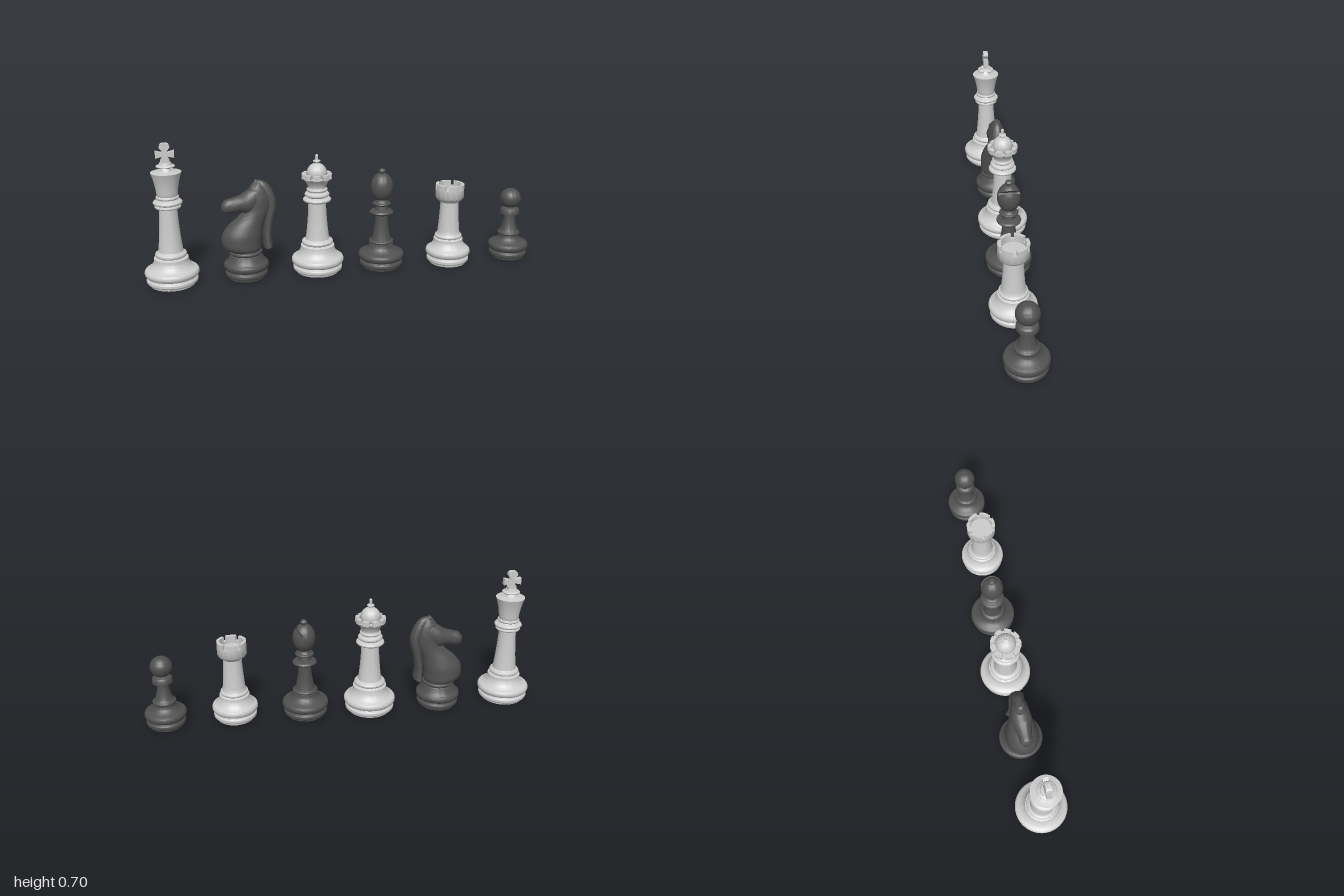
import * as THREE from 'three';
import { toCreasedNormals } from 'three/addons/utils/BufferGeometryUtils.js';

const light = new THREE.MeshStandardMaterial({ color: 0xcccccc });
const dark = new THREE.MeshStandardMaterial({ color: 0x505050 });

function add(parent, name, geometry, material, crease = 0.6) {
  const mesh = new THREE.Mesh(toCreasedNormals(geometry, crease), material);
  mesh.name = name;
  parent.add(mesh);
  return mesh;
}

// Profile helpers: each returns [radius, height] points from bottom to top
const bead = (r, y0, y1, bulge) => Array.from({ length: 9 }, (_, i) => {
  const a = -Math.PI / 2 + i * Math.PI / 8;
  return [r + bulge * Math.cos(a), (y0 + y1) / 2 + (y1 - y0) / 2 * Math.sin(a)];
});
const curve = (p, c, q) => new THREE.QuadraticBezierCurve(
  new THREE.Vector2(...p), new THREE.Vector2(...c), new THREE.Vector2(...q),
).getPoints(8).map((v) => [v.x, v.y]);
const ball = (r, y, ry = r, from = 0) => Array.from({ length: 17 }, (_, i) => {
  const a = -Math.PI / 2 + from + (Math.PI - from) * i / 16;
  return [Math.max(0, r * Math.cos(a)), y + ry * Math.sin(a)];
});

function lathe(points) {
  return new THREE.LatheGeometry(points.map(([x, y]) => new THREE.Vector2(x, y)), 64);
}

// Stepped foot shared by all pieces
const foot = (R, top, h) => [
  [0, 0], [0.82 * R, 0], [0.84 * R, 0.012],
  ...bead(0.89 * R, 0.013, 0.036, 0.06 * R),
  [0.87 * R, 0.043],
  ...bead(0.9 * R, 0.046, 0.082, 0.1 * R),
  ...curve([0.9 * R, 0.082], [top * 1.1, 0.095], [top, h]),
];

// Ring of battlements with gaps between them
function battlements(parent, material, rIn, rOut, y, h, count, fill) {
  const half = Math.PI / count * fill;
  const shape = new THREE.Shape();
  shape.absarc(0, 0, rOut, -half, half, false);
  shape.absarc(0, 0, rIn, half, -half, true);
  for (let i = 0; i < count; i++) {
    const geo = new THREE.ExtrudeGeometry(shape, { depth: h, bevelEnabled: false, curveSegments: 8 });
    geo.rotateX(-Math.PI / 2);
    geo.rotateY((i + 0.5) / count * Math.PI * 2);
    geo.translate(0, y, 0);
    add(parent, 'battlement', geo, material);
  }
}

// Smooth skin through elliptical rings [x, y, angle, half size in plane, half size in z]
function loft(rings, steps = 32, sides = 28) {
  const path = new THREE.CatmullRomCurve3(rings.map((r) => new THREE.Vector3(r[0], r[1], r[2])));
  const size = new THREE.CatmullRomCurve3(rings.map((r) => new THREE.Vector3(r[3], r[4], 0)));
  const pos = [], index = [];
  for (let i = -1; i <= steps + 1; i++) {
    const t = Math.min(1, Math.max(0, i / steps));
    const p = path.getPoint(t), s = size.getPoint(t);
    if (i < 0 || i > steps) s.set(0, 0, 0);
    for (let j = 0; j < sides; j++) {
      const a = j / sides * Math.PI * 2, u = s.x * Math.cos(a);
      pos.push(p.x + u * Math.cos(p.z), p.y + u * Math.sin(p.z), s.y * Math.sin(a));
      if (i > steps) continue;
      const r = (i + 1) * sides, k = (j + 1) % sides;
      index.push(r + j, r + sides + j, r + k, r + k, r + sides + j, r + sides + k);
    }
  }
  const geo = new THREE.BufferGeometry();
  geo.setAttribute('position', new THREE.Float32BufferAttribute(pos, 3));
  geo.setIndex(index);
  return geo;
}

function king(g) {
  add(g, 'kingBody', lathe([
    ...foot(0.132, 0.083, 0.125), [0.083, 0.138], [0.07, 0.142],
    ...bead(0.066, 0.144, 0.166, 0.01), [0.06, 0.172],
    ...curve([0.06, 0.172], [0.048, 0.26], [0.043, 0.385]),
    ...bead(0.05, 0.388, 0.405, 0.013), ...bead(0.055, 0.406, 0.428, 0.015),
    [0.05, 0.432], ...bead(0.048, 0.434, 0.45, 0.007), [0.05, 0.455],
    ...curve([0.05, 0.455], [0.054, 0.51], [0.073, 0.565]),
    [0.03, 0.569], [0.026, 0.572], [0.016, 0.586],
    ...bead(0.034, 0.588, 0.6, 0.011), [0.03, 0.603], [0.028, 0.61], [0, 0.614],
  ]), light);
  // Flared cross
  const half = [[0.02, 0.608], [0.022, 0.622], [0.01, 0.642], [0.044, 0.634], [0.044, 0.668],
    [0.012, 0.66], [0.012, 0.668], [0.025, 0.685], [0.02, 0.7], [0.008, 0.705]];
  const outline = [...half, ...half.map(([x, y]) => [-x, y]).reverse()];
  const shape = new THREE.Shape(outline.map((p) => new THREE.Vector2(...p)));
  const geo = new THREE.ExtrudeGeometry(shape, { depth: 0.026, bevelEnabled: false });
  add(g, 'kingCross', geo.translate(0, 0, -0.013), light);
}

function queen(g) {
  add(g, 'queenBody', lathe([
    ...foot(0.132, 0.085, 0.128), [0.085, 0.14], [0.07, 0.145],
    ...bead(0.068, 0.147, 0.169, 0.011), [0.06, 0.175],
    ...curve([0.06, 0.175], [0.048, 0.25], [0.044, 0.365]),
    ...bead(0.055, 0.368, 0.39, 0.016), [0.05, 0.393],
    ...bead(0.052, 0.396, 0.416, 0.01), [0.046, 0.42],
    ...bead(0.046, 0.424, 0.438, 0.007), [0.045, 0.445],
    ...curve([0.045, 0.445], [0.05, 0.465], [0.07, 0.487]), [0.074, 0.492], [0.04, 0.492],
  ]), light);
  battlements(g, light, 0.055, 0.076, 0.488, 0.024, 9, 0.68);
  add(g, 'queenDome', lathe(ball(0.05, 0.515)), light);
  add(g, 'queenFinial', lathe([
    [0, 0.555], [0.01, 0.562], ...bead(0.012, 0.57, 0.58, 0.007),
    [0.007, 0.582], [0.007, 0.604], [0.004, 0.608], [0, 0.608],
  ]), light);
}

function bishop(g) {
  add(g, 'bishopBody', lathe([
    ...foot(0.117, 0.062, 0.12), [0.062, 0.128], ...bead(0.054, 0.13, 0.145, 0.009), [0.05, 0.148],
    ...curve([0.05, 0.148], [0.035, 0.2], [0.031, 0.28]),
    ...bead(0.045, 0.282, 0.302, 0.016), [0.034, 0.306], [0.03, 0.326],
    ...bead(0.036, 0.33, 0.344, 0.011), [0.032, 0.348], [0.028, 0.365], [0, 0.365],
  ]), dark);
  // Head: rings stacked across the slit, pushed in where the slit lies
  const low = Math.acos(0.25), high = Math.acos(0.07), points = [];
  const arc = (a, b, n) => {
    for (let i = 0; i <= n; i++) {
      const t = a + (b - a) * i / n;
      points.push([Math.max(0, Math.sin(t)), Math.cos(t)]);
    }
  };
  arc(Math.PI, high, 18);
  const first = points.length;
  arc(high, low, 3);
  const last = points.length - 1;
  arc(low, 0, 16);
  const geo = lathe(points), pos = geo.attributes.position;
  for (let i = 0; i < pos.count; i++) {
    const row = i % points.length;
    if (row >= first && row <= last) pos.setX(i, Math.min(pos.getX(i), 0.34));
  }
  geo.rotateZ(0.64).scale(0.057, 0.075, 0.057).translate(0, 0.423, 0);
  add(g, 'bishopHead', geo, dark);
  add(g, 'bishopKnob', lathe(ball(0.018, 0.506, 0.014)), dark);
}

function rook(g) {
  add(g, 'rookBody', lathe([
    ...foot(0.115, 0.075, 0.122), [0.075, 0.132], [0.065, 0.136],
    ...bead(0.062, 0.138, 0.156, 0.008), [0.058, 0.162],
    ...curve([0.058, 0.162], [0.049, 0.24], [0.046, 0.33]),
    ...curve([0.048, 0.332], [0.066, 0.342], [0.073, 0.358]),
    [0.073, 0.4], [0.057, 0.4], [0.057, 0.385], [0, 0.385],
  ]), light);
  battlements(g, light, 0.057, 0.073, 0.4, 0.024, 6, 0.78);
}

function pawn(g) {
  add(g, 'pawnBody', lathe([
    ...foot(0.104, 0.053, 0.115), [0.053, 0.123], ...bead(0.051, 0.124, 0.14, 0.007), [0.047, 0.143],
    ...curve([0.047, 0.143], [0.03, 0.18], [0.026, 0.238]),
    [0.05, 0.238], [0.05, 0.254], ...curve([0.05, 0.254], [0.048, 0.266], [0.036, 0.269]),
    ...ball(0.054, 0.32, 0.053, 0.55),
  ]), dark);
}

function knight(g) {
  add(g, 'knightBase', lathe([
    ...foot(0.112, 0.08, 0.118), ...bead(0.074, 0.122, 0.142, 0.008), [0, 0.145],
  ]), dark);
  add(g, 'knightNeck', loft([
    [0, 0.135, 0, 0.07, 0.07], [-0.018, 0.165, 0, 0.097, 0.083], [-0.016, 0.22, 0, 0.1, 0.08],
    [0.005, 0.27, 0, 0.088, 0.066], [0.036, 0.31, 0, 0.072, 0.054], [0.058, 0.345, 0, 0.064, 0.048],
    [0.066, 0.4, 0, 0.062, 0.044], [0.066, 0.45, 0, 0.046, 0.034], [0.066, 0.485, 0, 0.022, 0.018],
  ]), dark, 1);
  const up = Math.PI / 2;
  add(g, 'knightHead', loft([
    [0.1, 0.42, up, 0.03, 0.018], [0.065, 0.408, up, 0.064, 0.042], [0.02, 0.388, up, 0.062, 0.05],
    [-0.02, 0.381, up, 0.043, 0.042], [-0.06, 0.372, up, 0.039, 0.034],
    [-0.095, 0.367, up, 0.035, 0.031], [-0.112, 0.364, up, 0.016, 0.016],
  ]), dark, 1);
  // Mane widens like a cape towards its lower end
  add(g, 'knightMane', loft([
    [0.052, 0.488, -1.9, 0.012, 0.01], [0.09, 0.465, -2.2, 0.026, 0.024], [0.122, 0.415, -2.7, 0.026, 0.034],
    [0.132, 0.355, -3.1, 0.024, 0.038], [0.116, 0.28, -3.3, 0.022, 0.04],
    [0.108, 0.215, -3.2, 0.021, 0.046], [0.111, 0.155, -3.0, 0.023, 0.056],
  ]), dark, 1);
  for (const side of [-1, 1]) {
    const ear = new THREE.ConeGeometry(0.013, 0.045, 12);
    ear.rotateZ(-0.2).translate(0.058, 0.475, side * 0.017);
    add(g, 'knightEar', ear, dark);
  }
}

export function createModel() {
  const model = new THREE.Group();
  const pieces = [
    ['king', king, -0.868, 0.013], ['knight', knight, -0.503, -0.01], ['queen', queen, -0.14, -0.013],
    ['bishop', bishop, 0.193, -0.011], ['rook', rook, 0.55, 0.005], ['pawn', pawn, 0.896, -0.016],
  ];
  for (const [name, build, x, z] of pieces) {
    const piece = new THREE.Group();
    piece.name = name;
    piece.position.set(x, 0, z);
    build(piece);
    model.add(piece);
  }
  return model;
}
